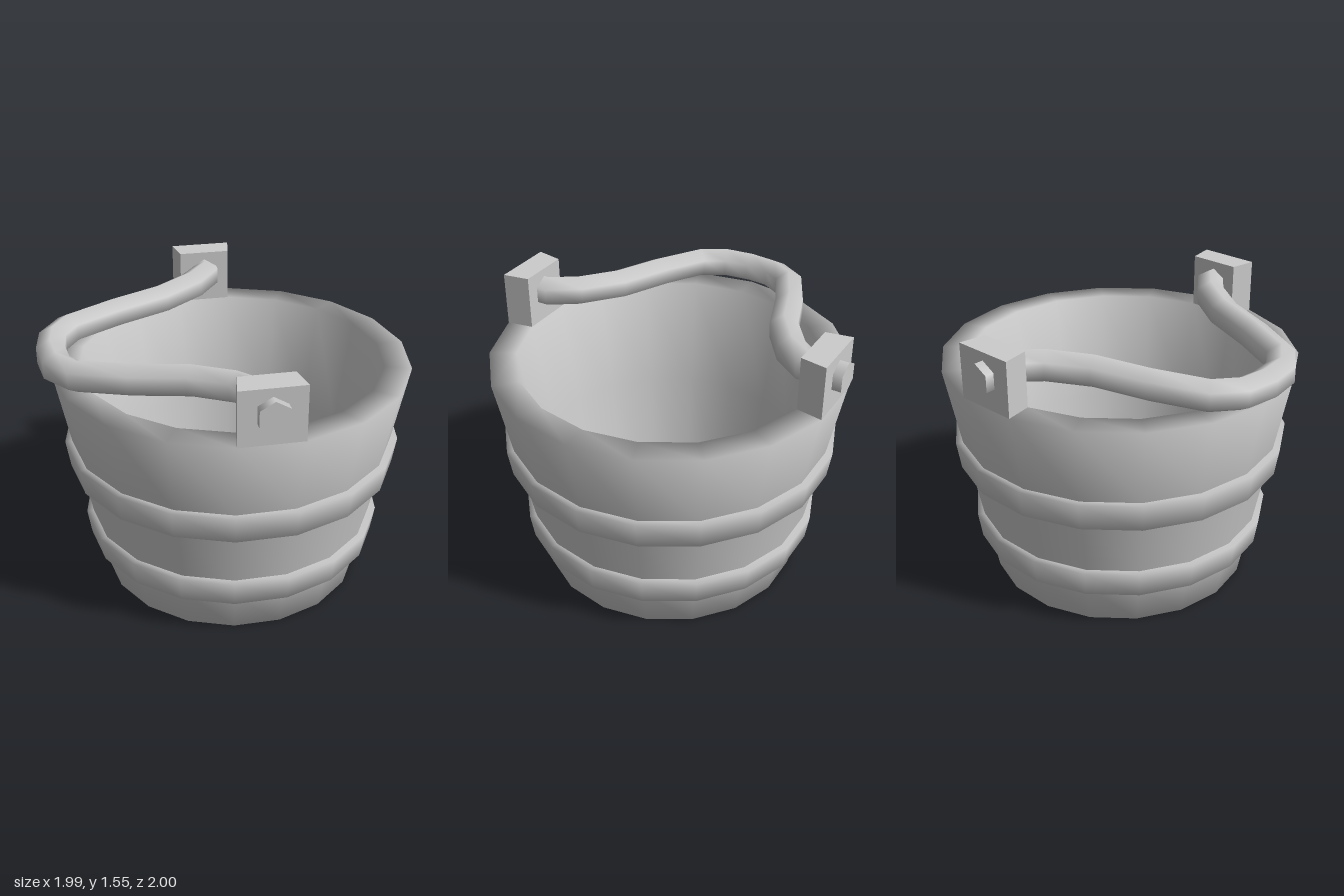
import * as THREE from 'three';

const SIDES = 18;
const CX = 0.035; // the tub sits slightly off centre, balanced by the handle
const TOP = 1.26;
const outer = (y) => 0.728 + (0.237 * y) / TOP;
const inner = (y) => 0.62 + (0.2 * y) / TOP;

export function createModel() {
  const model = new THREE.Group();
  const material = new THREE.MeshStandardMaterial({ color: 0xcccccc });

  const add = (name, geometry, parent = model) => {
    const mesh = new THREE.Mesh(geometry, material);
    mesh.name = name;
    parent.add(mesh);
    return mesh;
  };
  const ring = (points) => new THREE.LatheGeometry(
    points.map(([r, y]) => new THREE.Vector2(r, y)), SIDES, Math.PI / 2);

  const tub = new THREE.Group();
  tub.name = 'tub';
  tub.position.x = CX;
  model.add(tub);

  // Thick tapered wall, open at top and bottom
  const levels = [0, 0.22, 0.36, 0.68, 0.83, TOP];
  add('wall', ring([
    [inner(0), 0],
    ...levels.map((y) => [outer(y), y]),
    ...[TOP, 0.65, 0].map((y) => [inner(y), y]),
  ]), tub);

  // Floor board, set just above the lower edge
  const floor = add('floor', new THREE.CylinderGeometry(inner(0.1) + 0.01, inner(0.04) + 0.01, 0.06, SIDES), tub);
  floor.rotation.y = Math.PI / 2;
  floor.position.y = 0.07;

  // Two hoops around the wall
  for (const [name, low, high] of [['lowerHoop', 0.22, 0.36], ['upperHoop', 0.68, 0.83]]) {
    add(name, ring([
      [outer(low) - 0.02, low],
      [outer(low) + 0.045, low],
      [outer(high) + 0.039, high],
      [outer(high) - 0.02, high],
    ]), tub);
  }

  // Front and back lugs: one wall segment raised above the rim
  const half = Math.PI / SIDES;
  const corner = (r, s) => new THREE.Vector2(s * r * Math.sin(half), -r * Math.cos(half));
  const lugShape = new THREE.Shape([
    corner(outer(TOP), -1), corner(outer(TOP), 1), corner(inner(TOP), 1), corner(inner(TOP), -1),
  ]);
  const lugGeometry = new THREE.ExtrudeGeometry(lugShape, { depth: 0.295, bevelEnabled: false });
  lugGeometry.rotateX(-Math.PI / 2);
  ['frontLug', 'backLug'].forEach((name, i) => {
    const lug = add(name, lugGeometry, tub);
    lug.position.y = TOP;
    lug.rotation.y = i * Math.PI;
  });

  // Six-sided bow handle, tipped over to the right, its ends passing through the lugs
  const halfPath = [
    [CX, 1], [CX, 0.78], [-0.07, 0.65], [-0.27, 0.515], [-0.55, 0.415], [-0.81, 0.29], [-0.90, 0.16],
  ];
  const path = [...halfPath, [-0.92, 0], ...halfPath.map(([x, z]) => [x, -z]).reverse()];
  const curve = new THREE.CatmullRomCurve3(
    path.map(([x, z]) => new THREE.Vector3(x, 1.426 + 0.068 * (x - CX), z)));
  curve.getPointAt = curve.getPoint; // place one cross-section on each path point
  curve.getTangentAt = curve.getTangent;
  add('handle', new THREE.TubeGeometry(curve, path.length - 1, 0.086, 6));

  // Flat ends of the handle
  ['frontHandleEnd', 'backHandleEnd'].forEach((name, i) => {
    const cap = add(name, new THREE.CircleGeometry(0.086, 6, Math.PI / 2));
    cap.position.set(CX, 1.426, i ? -1 : 1);
    cap.rotation.y = i * Math.PI;
  });

  return model;
}
